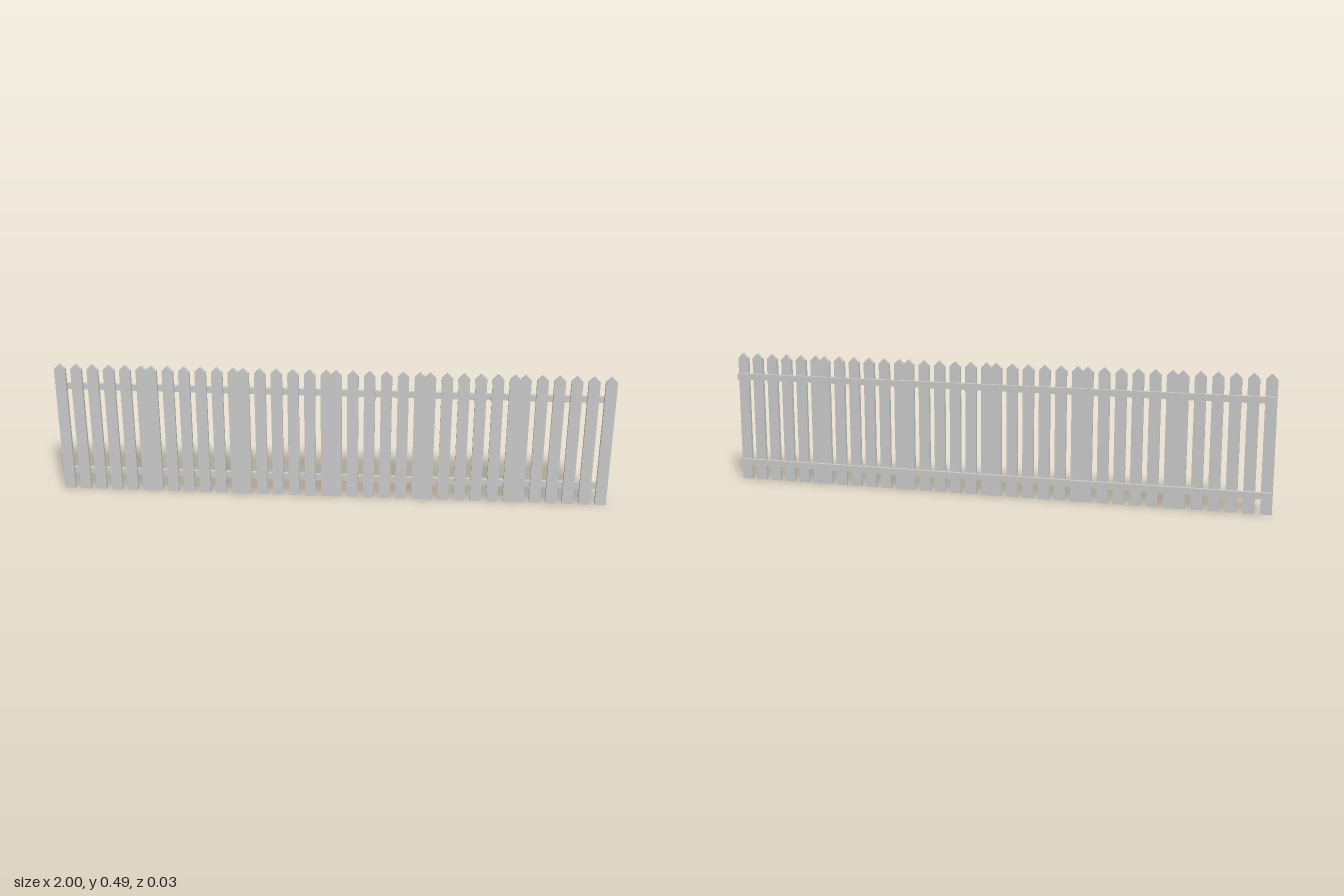
import * as THREE from 'three';

const SECTIONS = 6, PICKETS = 6;
const WIDTH = 0.04, HEIGHT = 0.49, SHOULDER = 0.471, DEPTH = 0.0135;
const PITCH = 0.0594;
const SECTION_WIDTH = PITCH * (PICKETS - 1) + WIDTH;
const SECTION_STEP = (2 - SECTION_WIDTH) / (SECTIONS - 1);

// Flat board with a pointed top, front face towards +z
function picketGeometry() {
  const w = WIDTH / 2;
  const outline = new THREE.Shape([
    new THREE.Vector2(-w, 0),
    new THREE.Vector2(w, 0),
    new THREE.Vector2(w, SHOULDER),
    new THREE.Vector2(0, HEIGHT),
    new THREE.Vector2(-w, SHOULDER),
  ]);
  return new THREE.ExtrudeGeometry(outline, { depth: DEPTH, bevelEnabled: false });
}

export function createModel() {
  const fence = new THREE.Group();
  fence.name = 'picketFence';
  const material = new THREE.MeshStandardMaterial({ color: 0xcccccc, flatShading: true });
  const picketGeo = picketGeometry();
  const railGeo = new THREE.BoxGeometry(SECTION_WIDTH, 0.023, DEPTH);

  // Six identical panels whose end pickets overlap slightly
  for (let s = 0; s < SECTIONS; s++) {
    const section = new THREE.Group();
    section.name = `fenceSection${s + 1}`;
    section.position.x = (s - (SECTIONS - 1) / 2) * SECTION_STEP;

    for (let i = 0; i < PICKETS; i++) {
      const picket = new THREE.Mesh(picketGeo, material);
      picket.name = `picket${i + 1}`;
      picket.position.x = (i - (PICKETS - 1) / 2) * PITCH;
      section.add(picket);
    }

    // Horizontal rails behind the pickets
    for (const [name, y] of [['lowerRail', 0.0685], ['upperRail', 0.4015]]) {
      const rail = new THREE.Mesh(railGeo, material);
      rail.name = name;
      rail.position.set(0, y, -DEPTH / 2);
      section.add(rail);
    }
    fence.add(section);
  }
  return fence;
}
